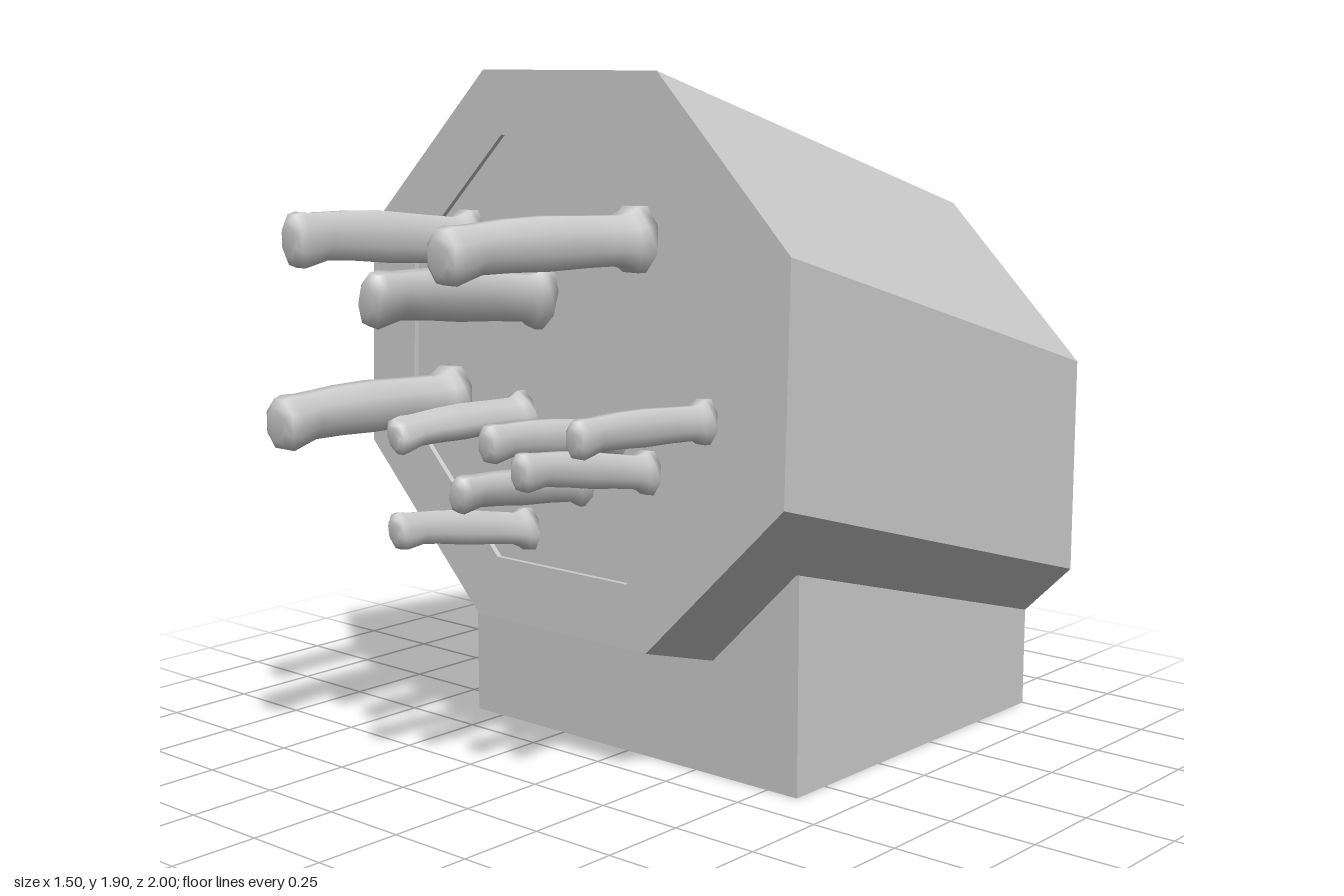
import * as THREE from 'three';

// Skin a series of rings (each counter-clockwise seen from +z, ordered back to front), closed at both ends.
function loft(rings, flat) {
  const n = rings[0].length, last = (rings.length - 1) * n, index = [];
  for (let j = 0; j < rings.length - 1; j++) {
    for (let i = 0; i < n; i++) {
      const a = j * n + i, b = j * n + (i + 1) % n;
      index.push(a, b, b + n, a, b + n, a + n);
    }
  }
  for (let i = 1; i < n - 1; i++) {
    index.push(0, i + 1, i);
    index.push(last, last + i, last + i + 1);
  }
  let geo = new THREE.BufferGeometry().setFromPoints(rings.flat());
  geo.setIndex(index);
  if (flat) geo = geo.toNonIndexed();
  geo.computeVertexNormals();
  return geo;
}

const V = (x, y, z) => new THREE.Vector3(x, y, z);
const faceZ = (y) => 0.4 - (y - 0.4) * 0.029; // the front face leans back slightly
const CENTRE = 1.15;
const OCTAGON = [[-0.31, -0.75], [0.31, -0.75], [0.75, -0.31], [0.75, 0.31],
  [0.31, 0.75], [-0.31, 0.75], [-0.75, 0.31], [-0.75, -0.31]];

// Octagonal block, sheared down towards the back, with a shallow recess in front
function blockGeometry() {
  const front = (s, depth) => OCTAGON.map(([x, y]) =>
    V(x * s, CENTRE + y * s, faceZ(CENTRE + y * s) - depth));
  const back = OCTAGON.map(([x, y]) => V(x, CENTRE + y - 0.4, -1));
  return loft([back, front(1, 0), front(0.77, 0), front(0.77, 0.015)], true);
}

// Foot with a top that follows the slope of the block
function footGeometry() {
  const ring = (z, top) => [V(-0.6, 0, z), V(0.6, 0, z), V(0.6, top, z), V(-0.6, top, z)];
  return loft([ring(-1, 0.29), ring(0.125, 0.605)], true);
}

// Handle stations: position along the handle, size, sag
const STATIONS = [[0, 1, 0], [0.055, 1, 0], [0.085, 0.86, 0], [0.13, 0.75, 0], [0.3, 0.76, 0.03],
  [0.5, 0.8, 0.05], [0.68, 0.76, 0.06], [0.82, 0.72, 0.02], [0.88, 0.77, -0.06],
  [0.94, 0.84, -0.12], [0.98, 0.76, -0.12], [1, 0.5, -0.12]];

// Handle running from its flange to a rounded, drooping pommel
function handleGeometry({ base, tip, w, h, roll, end }) {
  const start = faceZ(base[1]) - 0.02, sides = 8;
  const rings = STATIONS.map(([t, size, sag]) => {
    const cx = THREE.MathUtils.lerp(base[0], tip[0], t);
    const cy = THREE.MathUtils.lerp(base[1], tip[1], t) + sag * h;
    const cz = THREE.MathUtils.lerp(start, end, t);
    return Array.from({ length: sides }, (_, i) => {
      const a = (i + 0.5) / sides * Math.PI * 2;
      const p = V(Math.cos(a) * w * size * 1.08, Math.sin(a) * h * size * 1.08, 0);
      return p.applyAxisAngle(V(0, 0, 1), roll).add(V(cx, cy, cz));
    });
  });
  return loft(rings, false);
}

const LARGE = { w: 0.055, h: 0.085, roll: 0, end: 0.998 };
const SMALL = { w: 0.037, h: 0.058, roll: 0, end: 0.858 };
const HANDLES = [
  { ...LARGE, base: [-0.36, 1.435], tip: [-0.36, 1.49], w: 0.05 },
  { ...LARGE, base: [0.25, 1.475], tip: [0.185, 1.48], w: 0.063 },
  { ...LARGE, base: [-0.09, 1.3], tip: [-0.07, 1.36], w: 0.05, roll: -0.25 },
  { ...LARGE, base: [-0.43, 1.0], tip: [-0.43, 1.01], w: 0.07 },
  { ...SMALL, base: [-0.15, 0.985], tip: [-0.14, 0.99], roll: 0.4 },
  { ...SMALL, base: [0.185, 0.96], tip: [0.19, 1.01] },
  { ...SMALL, base: [0.3, 0.875], tip: [0.3, 0.955] },
  { ...SMALL, base: [0.485, 1.03], tip: [0.485, 1.055] },
  { ...SMALL, base: [0.07, 0.815], tip: [0.085, 0.87], roll: -0.2 },
  { ...SMALL, base: [-0.13, 0.665], tip: [-0.145, 0.745], roll: 0.15 },
];

export function createModel() {
  const group = new THREE.Group();
  group.name = 'knifeBlock';
  const flat = new THREE.MeshStandardMaterial({ color: 0xcccccc, flatShading: true });
  const smooth = new THREE.MeshStandardMaterial({ color: 0xcccccc });
  const add = (name, geometry, material) => {
    const mesh = new THREE.Mesh(geometry, material);
    mesh.name = name;
    group.add(mesh);
  };
  add('block', blockGeometry(), flat);
  add('foot', footGeometry(), flat);
  HANDLES.forEach((spec, i) => add(`knifeHandle${i + 1}`, handleGeometry(spec), smooth));
  return group;
}
